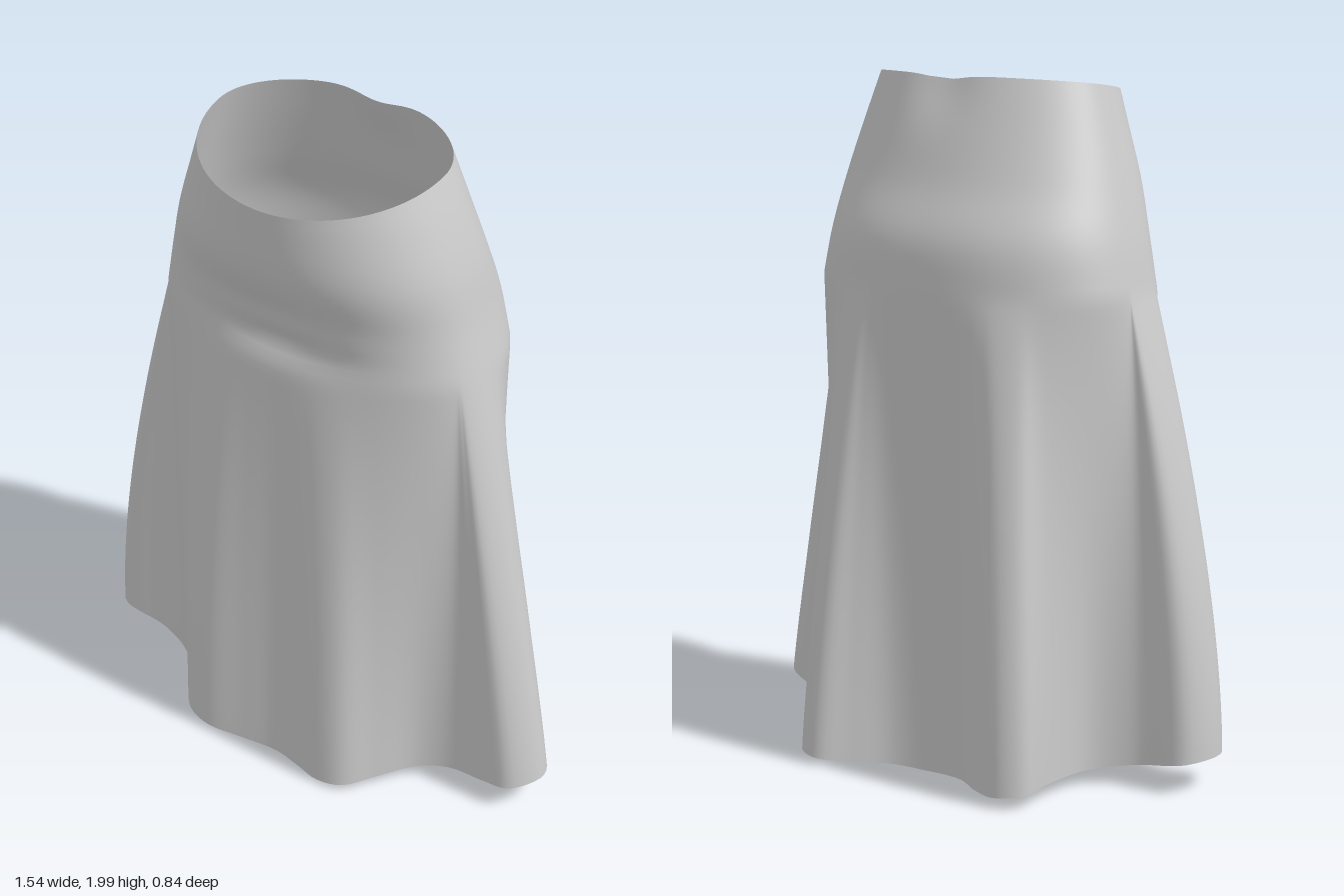
import * as THREE from 'three';

const COLUMNS = 200, ROWS = 70, HIP_Y = 1.4, CENTRE_Z = 0.06;

// Fitted upper part: height -> right reach, left reach, front z, back z, squareness
const LEVELS = [1.3, 1.4, 1.55, 1.7, 1.85, 2.0];
const FIT = [
  0.55, 0.53, 0.34, -0.305, 2.3,
  0.53, 0.51, 0.335, -0.303, 2.3,
  0.5, 0.475, 0.345, -0.295, 2.25,
  0.46, 0.445, 0.385, -0.24, 2.15,
  0.415, 0.4, 0.4, -0.2, 2.0,
  0.367, 0.345, 0.41, -0.165, 1.9,
];

// Hem outline [x, z] with six flared folds, from centre front round by +x
const HEM = [
  [0, 0.375], [0.09, 0.395], [0.18, 0.42], [0.26, 0.405], [0.33, 0.32], [0.41, 0.225],
  [0.5, 0.19], [0.62, 0.2], [0.71, 0.2], [0.77, 0.11], [0.73, 0.03], [0.62, -0.02],
  [0.48, -0.07], [0.39, -0.17], [0.37, -0.3], [0.34, -0.4], [0.27, -0.42], [0.19, -0.36],
  [0.09, -0.29], [-0.03, -0.27], [-0.15, -0.29], [-0.26, -0.365], [-0.36, -0.41], [-0.435, -0.37],
  [-0.43, -0.25], [-0.46, -0.1], [-0.57, -0.025], [-0.73, -0.015], [-0.775, 0.08], [-0.74, 0.16],
  [-0.58, 0.165], [-0.46, 0.21], [-0.38, 0.31], [-0.31, 0.39], [-0.23, 0.412], [-0.11, 0.39],
];

const bell = (v, width) => Math.exp(-((v / width) ** 2));

const fit = new THREE.CubicInterpolant(LEVELS, FIT, 5, new Float32Array(5));

// Point of the fitted body at a height, along a direction (sx, cz) from the axis
function bodyPoint(y, sx, cz) {
  const [right, left, front, back, n] = fit.evaluate(y);
  const a = Math.abs(sx) / (sx < 0 ? right : left);
  const b = Math.abs(cz) / (cz > 0 ? front - CENTRE_Z : CENTRE_Z - back);
  const r = (a ** n + b ** n) ** (-1 / n);
  return [r * sx, CENTRE_Z + r * cz];
}

function skirtGeometry() {
  const outline = new THREE.CatmullRomCurve3(
    HEM.map(([x, z]) => new THREE.Vector3(x, 0, z)), true, 'centripetal');
  const hem = outline.getSpacedPoints(COLUMNS).slice(0, COLUMNS);
  const positions = [], index = [];

  for (let i = 0; i <= ROWS; i++) {
    for (let j = 0; j < COLUMNS; j++) {
      const h = hem[j];
      const len = Math.hypot(h.x, h.z - CENTRE_Z);
      const sx = h.x / len, cz = (h.z - CENTRE_Z) / len;

      // Waist dips at the front, hem rises at the sides
      const waistZ = bodyPoint(1.95, sx, cz)[1];
      let top = 1.98 - 0.12 * waistZ - 0.14 * waistZ * waistZ;
      if (cz < 0) top -= 0.015 * bell(sx, 0.35);
      const bottom = 0.1 * (Math.abs(h.x) / 0.775) ** 1.5 + 0.005;
      const y = THREE.MathUtils.lerp(top, bottom, i / ROWS);

      let [x, z] = bodyPoint(Math.max(y, HIP_Y), sx, cz);
      if (y < HIP_Y) {
        // Folds open from the hip down to the hem
        const t = (HIP_Y - y) / (HIP_Y - bottom);
        const w = 1 - (1 - t) ** (1.35 - 0.25 * sx);
        x = THREE.MathUtils.lerp(x, h.x, w);
        z = THREE.MathUtils.lerp(z, h.z, w);
      }
      if (cz > 0) {
        // Creases below the belly
        z -= 0.026 * bell(y - 1.455 - 0.1 * x * x, 0.045) * bell(x, 0.22);
        z -= 0.008 * bell(y - 1.56, 0.05) * bell(x, 0.25);
      } else {
        // Gathered back waist
        z += 0.025 * bell(y - 2, 0.12) * bell(x, 0.1);
      }
      positions.push(x, y, z);

      if (i < ROWS) {
        const a = i * COLUMNS + j, b = i * COLUMNS + (j + 1) % COLUMNS;
        index.push(a, a + COLUMNS, b, b, a + COLUMNS, b + COLUMNS);
      }
    }
  }
  const geometry = new THREE.BufferGeometry();
  geometry.setAttribute('position', new THREE.Float32BufferAttribute(positions, 3));
  geometry.setIndex(index);
  geometry.computeVertexNormals();
  return geometry;
}

export function createModel() {
  const group = new THREE.Group();
  group.name = 'flaredSkirt';
  const cloth = new THREE.MeshStandardMaterial({ color: 0xcccccc, side: THREE.DoubleSide });
  const skirt = new THREE.Mesh(skirtGeometry(), cloth);
  skirt.name = 'skirtCloth';
  group.add(skirt);
  return group;
}
